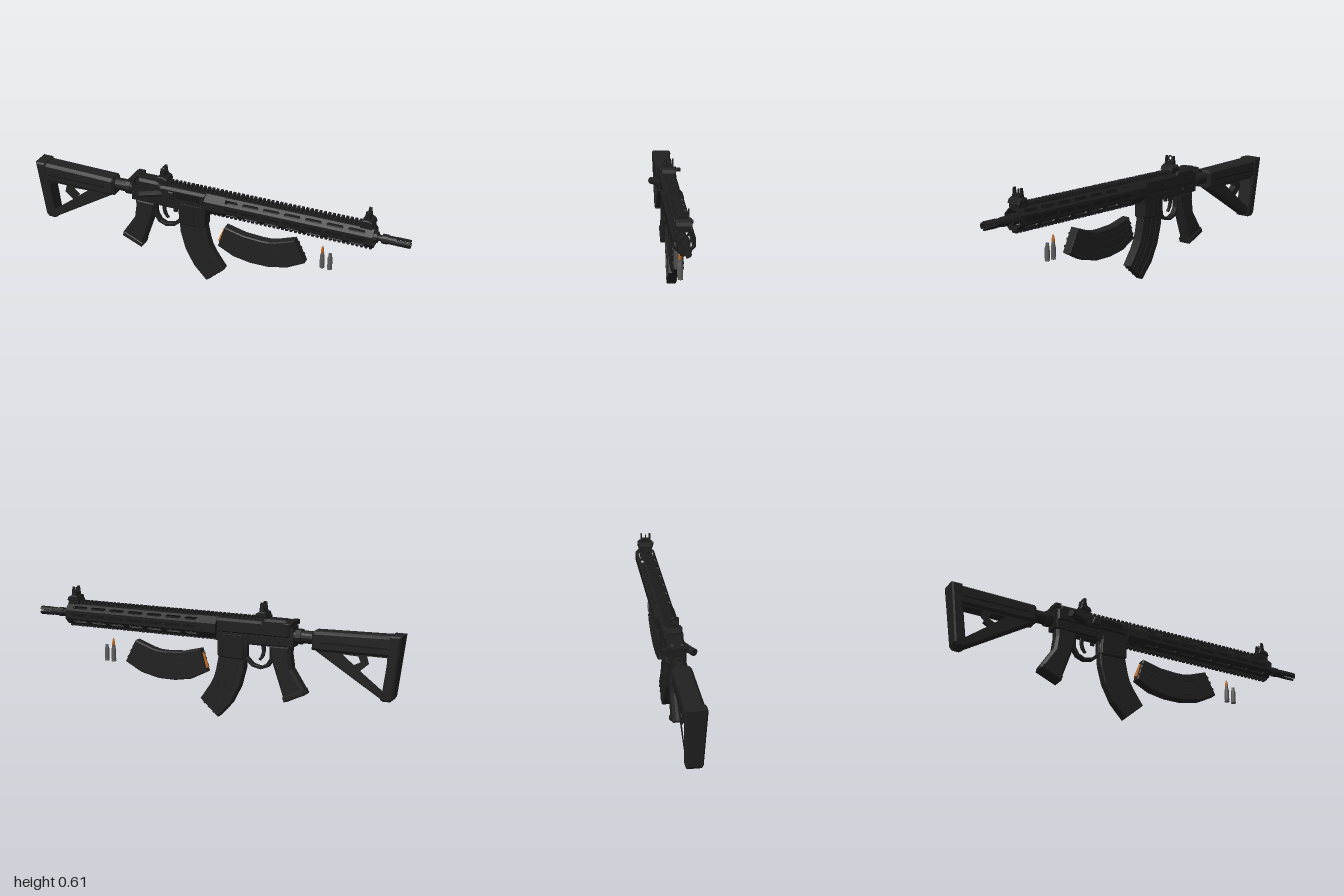
import * as THREE from 'three';

const mat = (name, color) => {
  const m = new THREE.MeshStandardMaterial({ color });
  m.name = name;
  return m;
};

export function createModel() {
  const metal = mat('dark metal', 0x1e1e1e);
  const polymer = mat('dark polymer', 0x212121);
  const shadowMetal = mat('black metal', 0x161616);
  const steel = mat('grey case', 0x5c5c5c);
  const copper = mat('copper', 0xb8661c);
  metal.flatShading = polymer.flatShading = shadowMetal.flatShading = true;

  const root = new THREE.Group();
  root.name = 'rifleSet';
  root.position.z = -0.012;

  const add = (name, geo, m, x = 0, y = 0, z = 0, parent = root) => {
    const mesh = new THREE.Mesh(geo, m);
    mesh.name = name;
    mesh.position.set(x, y, z);
    parent.add(mesh);
    return mesh;
  };
  // Box from its limits along x and y, centred on z
  const box = (name, m, x0, x1, y0, y1, half, z = 0) =>
    add(name, new THREE.BoxGeometry(x1 - x0, y1 - y0, half * 2), m, (x0 + x1) / 2, (y0 + y1) / 2, z);
  // Round part lying along x
  const rod = (name, m, x0, x1, y, r, sides = 16, r2 = r) =>
    add(name, new THREE.CylinderGeometry(r2, r, x1 - x0, sides).rotateZ(-Math.PI / 2), m, (x0 + x1) / 2, y);
  // Side profile with bevelled edges, centred on z
  const vecs = (pts) => pts.map(([x, y]) => new THREE.Vector2(x, y));
  const profile = (pts, half, b = 0.006, holes = []) => {
    const s = new THREE.Shape(vecs(pts));
    holes.forEach((h) => s.holes.push(new THREE.Path(vecs(h))));
    return new THREE.ExtrudeGeometry(s, {
      depth: 2 * (half - b), bevelEnabled: b > 0, bevelThickness: b, bevelSize: b, bevelOffset: -b, bevelSegments: 1,
    }).translate(0, 0, b - half);
  };
  const slab = (name, m, pts, half, b, holes, z = 0) => add(name, profile(pts, half, b, holes), m, 0, 0, z);

  // Shoulder stock: tube housing, triangular frame and tapering butt pad
  slab('stockBody', polymer, [[-0.99, 0.502], [-0.56, 0.492], [-0.55, 0.48], [-0.55, 0.4], [-0.6, 0.395], [-0.97, 0.4]], 0.047, 0.014);
  slab('stockFrame', polymer, [[-0.97, 0.42], [-0.56, 0.42], [-0.57, 0.395], [-0.905, 0.19], [-0.955, 0.19]], 0.034, 0.005,
    [[[-0.935, 0.4], [-0.825, 0.4], [-0.835, 0.36], [-0.79, 0.32], [-0.922, 0.222]],
      [[-0.79, 0.395], [-0.7, 0.395], [-0.765, 0.34], [-0.805, 0.36]]]);
  const pad = profile([[-1, 0.505], [-0.945, 0.505], [-0.935, 0.4], [-0.91, 0.23], [-0.9, 0.19], [-0.915, 0.182], [-0.95, 0.184], [-0.962, 0.2]], 0.052, 0.008);
  const pp = pad.attributes.position;
  for (let i = 0; i < pp.count; i++) pp.setZ(i, pp.getZ(i) * (0.76 + 0.24 * (pp.getY(i) - 0.18) / 0.32));
  pad.computeVertexNormals();
  add('buttPad', pad, polymer);
  for (const s of [1, -1]) box('stockGroove', shadowMetal, -0.93, -0.6, 0.437, 0.445, 0.002, s * 0.047);
  rod('bufferTube', metal, -0.58, -0.43, 0.452, 0.032);
  rod('castleNut', metal, -0.49, -0.465, 0.452, 0.039, 12);
  box('endPlate', metal, -0.452, -0.435, 0.4, 0.5, 0.034);

  // Receiver
  slab('upperReceiver', metal, [[-0.44, 0.44], [-0.44, 0.505], [-0.41, 0.53], [-0.3, 0.53], [-0.285, 0.515], [-0.04, 0.515], [-0.04, 0.44]], 0.042, 0.012);
  slab('lowerReceiver', metal, [[-0.445, 0.45], [-0.04, 0.45], [-0.04, 0.4], [-0.19, 0.395], [-0.44, 0.398]], 0.036, 0.005);
  slab('magazineWell', metal, [[-0.187, 0.44], [-0.047, 0.44], [-0.047, 0.325], [-0.055, 0.318], [-0.182, 0.312], [-0.19, 0.32]], 0.037, 0.006);
  box('ejectionPort', shadowMetal, -0.2, -0.075, 0.462, 0.497, 0.004, 0.041);
  box('portHinge', metal, -0.205, -0.07, 0.452, 0.46, 0.006, 0.043);
  slab('caseDeflector', metal, [[-0.255, 0.46], [-0.21, 0.46], [-0.21, 0.5], [-0.24, 0.5]], 0.012, 0.004, [], 0.044);
  for (const s of [1, -1]) {
    const lever = box('selectorLever', metal, -0.385, -0.335, 0.417, 0.429, 0.007, s * 0.043);
    lever.rotation.z = 0.3;
    for (const [x, y, r] of [[-0.41, 0.43, 0.008], [-0.345, 0.425, 0.013], [-0.265, 0.415, 0.006], [-0.21, 0.43, 0.008], [-0.06, 0.43, 0.009]])
      add('pin', new THREE.CylinderGeometry(r, r, 0.006, 12).rotateX(Math.PI / 2), metal, x, y, s * 0.037);
    box('magazineCatch', metal, -0.215, -0.195, 0.385, 0.41, 0.005, s * 0.038);
    for (const x of [-0.16, -0.12, -0.08]) box('wellRib', metal, x, x + 0.012, 0.335, 0.4, 0.002, s * 0.038);
  }
  // Forward assist angled off the side
  const assist = new THREE.Group();
  assist.name = 'forwardAssist';
  add('assistBody', new THREE.CylinderGeometry(0.017, 0.019, 0.1, 10), metal, 0, 0, 0, assist);
  add('assistButton', new THREE.CylinderGeometry(0.018, 0.018, 0.022, 10), metal, 0, 0.055, 0, assist);
  assist.position.set(-0.33, 0.469, 0.055);
  assist.quaternion.setFromUnitVectors(new THREE.Vector3(0, 1, 0), new THREE.Vector3(-0.88, 0, 0.47).normalize());
  root.add(assist);
  // Charging handle
  box('chargingHandle', metal, -0.455, -0.3, 0.508, 0.53, 0.016);
  box('handleBar', metal, -0.455, -0.425, 0.505, 0.528, 0.05);
  slab('handleLatch', metal, [[-0.455, 0.507], [-0.42, 0.507], [-0.42, 0.522], [-0.455, 0.522]], 0.014, 0.003, [], -0.06);

  // Grip, trigger and guard
  slab('pistolGrip', polymer, [[-0.437, 0.405], [-0.32, 0.402], [-0.338, 0.32], [-0.405, 0.125], [-0.415, 0.12], [-0.515, 0.168], [-0.518, 0.178], [-0.445, 0.29], [-0.435, 0.36]], 0.033, 0.013);
  slab('gripBase', polymer, [[-0.398, 0.145], [-0.407, 0.121], [-0.515, 0.168], [-0.505, 0.193]], 0.037, 0.004);
  slab('triggerGuard', metal, [[-0.34, 0.41], [-0.34, 0.325], [-0.315, 0.285], [-0.275, 0.27], [-0.225, 0.28], [-0.185, 0.315], [-0.185, 0.41]], 0.015, 0.002,
    [[[-0.322, 0.39], [-0.322, 0.33], [-0.302, 0.298], [-0.272, 0.284], [-0.232, 0.293], [-0.2, 0.325], [-0.2, 0.39]]]);
  slab('trigger', metal, [[-0.295, 0.4], [-0.27, 0.4], [-0.278, 0.36], [-0.268, 0.33], [-0.258, 0.318], [-0.27, 0.312], [-0.288, 0.335], [-0.295, 0.365]], 0.007, 0.002);

  // Octagonal handguard with slots on the four slanted faces
  const axisY = 0.463, apothem = 0.052, w = 0.0215, hx0 = -0.045, hx1 = 0.825;
  const slots = [];
  for (let i = 0; i < 7; i++) {
    const a = 0.045 + i * 0.109, b = a + 0.088;
    slots.push([[a, 0], [a + 0.008, -0.009], [b - 0.008, -0.009], [b, 0], [b - 0.008, 0.009], [a + 0.008, 0.009]]);
  }
  for (let k = 0; k < 8; k++) {
    const g = profile([[hx0, -w], [hx1, -w], [hx1, w], [hx0, w]], 0.003, 0, k % 2 ? slots : []);
    add('handguardPanel', g.translate(0, 0, apothem - 0.003).rotateX(k * Math.PI / 4), metal, 0, axisY);
  }
  for (const s of [1, -1]) for (let i = 0; i < 7; i++)
    box('sideRecess', shadowMetal, 0.045 + i * 0.109, 0.133 + i * 0.109, axisY - 0.008, axisY + 0.008, 0.0015, s * 0.052);
  const collar = new THREE.CylinderGeometry(0.059, 0.059, 0.11, 8, 1).rotateY(Math.PI / 8).rotateZ(Math.PI / 2);
  add('handguardCollar', collar, metal, 0.01, axisY);

  // Toothed rails above and below
  box('topRail', metal, -0.3, 0.825, 0.51, 0.522, 0.017);
  for (let x = -0.295; x < 0.815; x += 0.0225) box('railTooth', metal, x, x + 0.0125, 0.52, 0.534, 0.022);
  for (let x = -0.03; x < 0.815; x += 0.0225) box('lowerTooth', metal, x, x + 0.0125, 0.398, 0.413, 0.016);

  // Barrel and muzzle
  rod('barrel', metal, -0.05, 0.87, axisY, 0.016);
  rod('barrelNut', metal, 0.8, 0.84, axisY, 0.028, 12);
  rod('muzzleCollar', metal, 0.862, 0.89, axisY, 0.024, 12);
  rod('muzzleBody', metal, 0.89, 0.935, axisY, 0.021, 12);
  for (let k = 0; k < 3; k++) {
    const a = k * Math.PI * 2 / 3 + 0.35, s = new THREE.Shape();
    s.absarc(0, 0, 0.022, a, a + 1.5, false);
    s.absarc(0, 0, 0.012, a + 1.5, a, true);
    const g = new THREE.ExtrudeGeometry(s, { depth: 0.07, bevelEnabled: false, curveSegments: 5 });
    add('muzzleProng', g.rotateY(Math.PI / 2), metal, 0.93, axisY);
  }

  // Folding sights
  const sight = (name, x, rear) => {
    box(name + 'Base', metal, x - 0.03, x + 0.03, 0.515, 0.54, 0.032);
    slab(name + 'Block', metal, [[x - 0.028, 0.535], [x + 0.036, 0.535], [x + 0.03, 0.552], [x + 0.012, 0.562], [x - 0.02, 0.56]], 0.038, 0.004);
    box(name + 'Stem', metal, x - 0.008, x + 0.012, 0.555, 0.578, 0.018);
    for (const s of [1, -1]) {
      slab(name + 'Wing', metal, [[x - 0.013, 0.555], [x + 0.016, 0.555], [x + 0.009, 0.606], [x - 0.005, 0.606]], 0.0035, 0.001, [], s * 0.023);
      add(name + 'Knob', new THREE.CylinderGeometry(0.009, 0.009, 0.008, 10).rotateX(Math.PI / 2), metal, x, 0.548, s * 0.039);
    }
    box(name + 'Crossbar', metal, x - 0.006, x + 0.008, 0.57, 0.577, 0.023);
    if (rear) add('aperture', new THREE.TorusGeometry(0.012, 0.004, 6, 12).rotateY(Math.PI / 2), metal, x, 0.594);
    else box('sightPost', metal, x - 0.002, x + 0.002, 0.57, 0.6, 0.002);
  };
  sight('rearSight', -0.285, true);
  sight('frontSight', 0.785, false);

  // Curved magazine, pivoted at the outer corner of its floor plate
  const outer = [[0.019, 0.227], [0.104, 0.184], [0.195, 0.168], [0.291, 0.168], [0.392, 0.19], [0.483, 0.238]];
  const inner = [[0.056, 0.344], [0.158, 0.318], [0.248, 0.312], [0.291, 0.313], [0.334, 0.323], [0.424, 0.355]];
  const px = 0.483, py = 0.238;
  const across = (t) => outer.map(([x, y], i) => [x + (inner[i][0] - x) * t - px, y + (inner[i][1] - y) * t - py]);
  const band = (t0, t1) => [...across(t0), ...across(t1).reverse()];
  const magazine = (name, x, y, turn) => {
    const g = new THREE.Group();
    g.name = name;
    add('magazineBody', profile(band(0, 1), 0.025, 0.005), polymer, 0, 0, 0, g);
    for (const s of [1, -1]) for (const t of [0.22, 0.5, 0.72])
      add('magazineRib', profile(band(t, t + 0.07), 0.002, 0), polymer, 0, 0, s * 0.025, g);
    // Top round showing between the feed lips
    const feed = [0.037 - px, 0.285 - py];
    const round = add('topRound', new THREE.CylinderGeometry(0.006, 0.011, 0.08, 10), copper, feed[0] - 0.001, feed[1], 0, g);
    round.rotation.z = -0.31;
    g.position.set(x, y, 0);
    g.rotation.z = turn;
    root.add(g);
  };
  magazine('spareMagazine', px, py, 0);
  magazine('fittedMagazine', -0.045, 0.002, -75 * Math.PI / 180);

  // Loose cartridge and empty case
  const lathe = (name, pts, m, x) => add(name, new THREE.LatheGeometry(vecs(pts), 16), m, x, 0.226);
  const casePts = [[0, 0], [0.0125, 0], [0.0125, 0.004], [0.0105, 0.006], [0.0105, 0.009], [0.0125, 0.011], [0.0115, 0.065], [0.0085, 0.074], [0.0085, 0.086]];
  lathe('cartridgeCase', casePts, steel, 0.567);
  lathe('bullet', [[0.008, 0.084], [0.008, 0.094], [0.0055, 0.11], [0.002, 0.121], [0, 0.122]], copper, 0.567);
  lathe('emptyCase', [...casePts, [0.007, 0.086], [0.007, 0.07], [0, 0.07]], steel, 0.607);

  const model = new THREE.Group();
  model.name = 'model';
  model.add(root);
  return model;
}
